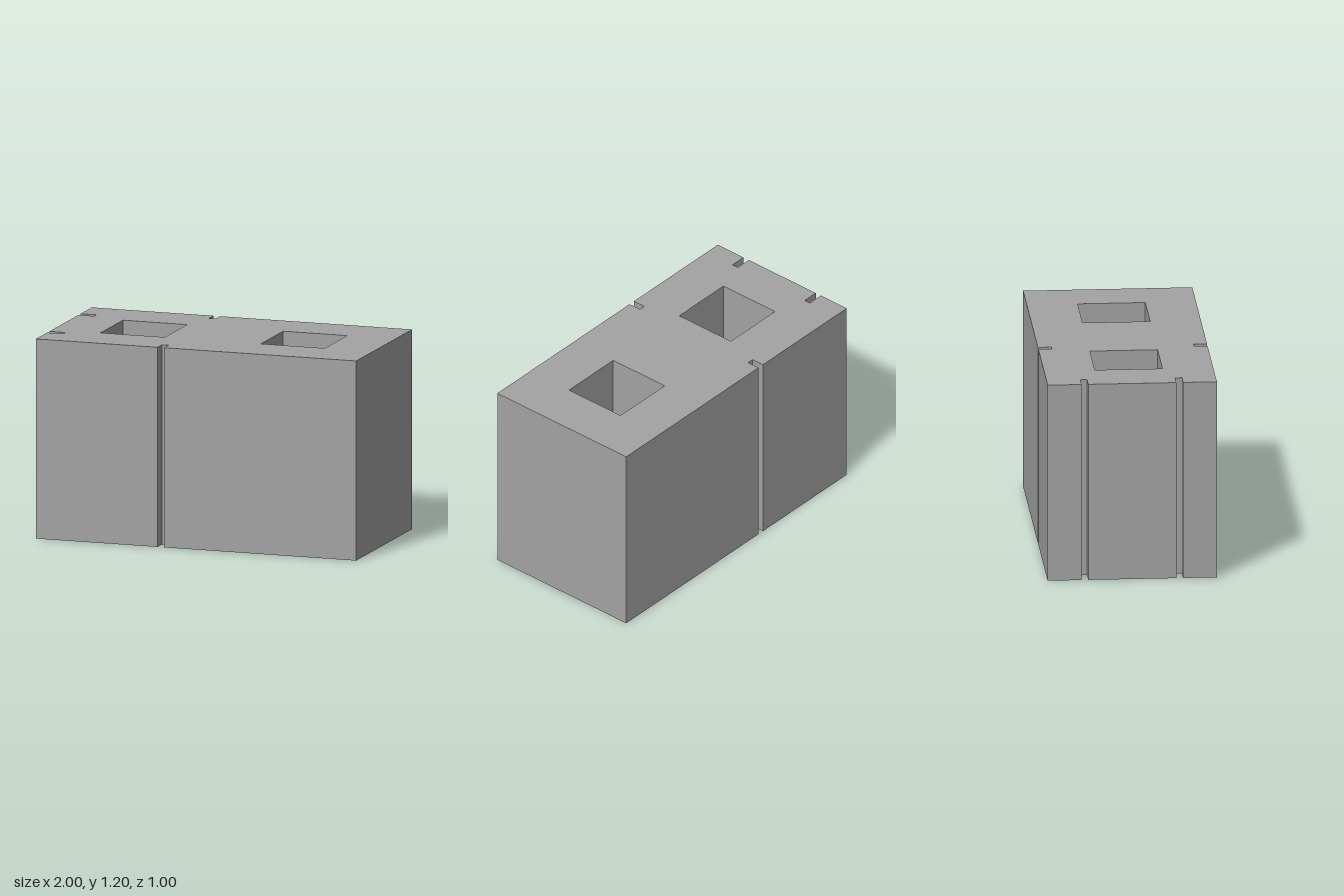
import * as THREE from 'three';

const HEIGHT = 1.2, HALF_X = 1, HALF_Z = 0.5;

// Square core opening centred at (x, 0)
function squareHole(x, half) {
  return new THREE.Path([
    [x - half, -half], [x - half, half], [x + half, half], [x + half, -half],
  ].map(([a, b]) => new THREE.Vector2(a, b)));
}

export function createModel() {
  const group = new THREE.Group();
  group.name = 'hollowBlock';

  // Upper half of the plan outline, right to left: side groove, then end groove
  const half = [
    [HALF_X, HALF_Z],
    [-0.2, HALF_Z], [-0.2, 0.42], [-0.24, 0.42], [-0.24, HALF_Z],
    [-HALF_X, HALF_Z],
    [-HALF_X, 0.3], [-0.9, 0.3], [-0.9, 0.26], [-HALF_X, 0.26],
  ];
  // Mirror for the other half
  const mirrored = half.map(([x, y]) => [x, -y]).reverse();
  const outline = [...half, ...mirrored].map(([x, y]) => new THREE.Vector2(x, y));

  // Plan with two square cores, extruded upwards
  const plan = new THREE.Shape(outline);
  plan.holes.push(squareHole(-0.5, 0.2), squareHole(0.5, 0.2));
  const geometry = new THREE.ExtrudeGeometry(plan, { depth: HEIGHT, bevelEnabled: false });
  geometry.rotateX(-Math.PI / 2);

  const block = new THREE.Mesh(
    geometry,
    new THREE.MeshStandardMaterial({ color: 0xa3a3a3, flatShading: true }),
  );
  block.name = 'blockBody';
  group.add(block);
  return group;
}
